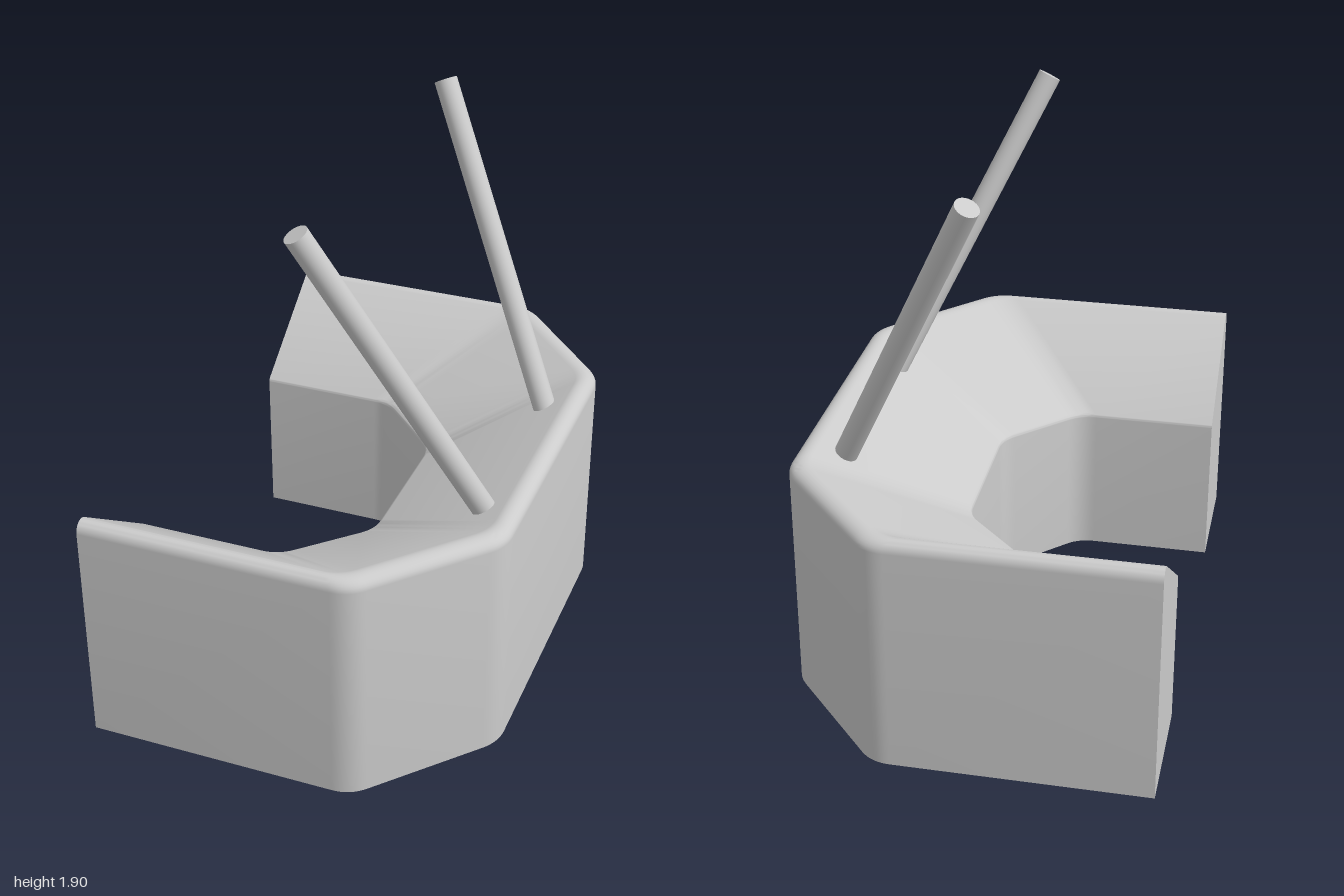
import * as THREE from 'three';
import { toCreasedNormals } from 'three/addons/utils/BufferGeometryUtils.js';

const V2 = (x, y) => new THREE.Vector2(x, y);

// Plan line (x, z) from one arm end to the other, with two rounded corners per half
function planLine(end, c1, c2, round) {
  const half = [end];
  const corner = (a, c, b) => {
    const start = c.clone().add(a.clone().sub(c).setLength(round));
    const stop = c.clone().add(b.clone().sub(c).setLength(round));
    half.push(...new THREE.QuadraticBezierCurve(start, c, stop).getPoints(8));
  };
  corner(end, c1, c2);
  corner(c1, c2, V2(c2.x, 0));
  return [...half, ...half.map(p => V2(p.x, -p.y)).reverse()];
}

// Wedge cross-section: x = 0 inner wall to 1 outer wall, y = height
function wedgeProfile() {
  const w = 0.5, rOut = 0.04, rIn = 0.02, hIn = 0.57, hOut = 0.86;
  const slope = Math.atan(0.297 / (w - rOut));
  const pts = [V2(0, 0), V2(w, 0)];
  const arc = (cx, cy, r, a0, a1, n) => {
    for (let i = 0; i <= n; i++) {
      const a = a0 + (a1 - a0) * i / n;
      pts.push(V2(cx + r * Math.cos(a), cy + r * Math.sin(a)));
    }
  };
  arc(w - rOut, hOut - rOut, rOut, 0, Math.PI / 2 + slope, 10);
  const t = rIn * Math.tan((Math.PI / 2 - slope) / 2);
  arc(rIn, hIn - t, rIn, Math.PI / 2 + slope, Math.PI, 5);
  return pts.map(p => V2(p.x / w, p.y));
}

function wedgeSweep() {
  const inner = planLine(V2(-0.67, 0.547), V2(-0.16, 0.547), V2(0.1, 0.285), 0.06);
  const outer = planLine(V2(-0.67, 1), V2(0.285, 1), V2(0.67, 0.572), 0.065);
  const profile = wedgeProfile(), n = profile.length;
  const rings = inner.map((a, i) => profile.map(p => {
    const q = a.clone().lerp(outer[i], p.x);
    return [q.x, p.y, q.y];
  }));
  const pos = [];
  const tri = (a, b, c) => pos.push(...a, ...b, ...c);
  for (let i = 0; i < rings.length - 1; i++) {
    for (let j = 0; j < n; j++) {
      const k = (j + 1) % n, r = rings[i], s = rings[i + 1];
      tri(r[j], s[j], s[k]);
      tri(r[j], s[k], r[k]);
    }
  }
  // Flat arm ends
  const first = rings[0], last = rings[rings.length - 1];
  for (let j = 1; j < n - 1; j++) {
    tri(first[0], first[j], first[j + 1]);
    tri(last[0], last[j + 1], last[j]);
  }
  const g = new THREE.BufferGeometry();
  g.setAttribute('position', new THREE.Float32BufferAttribute(pos, 3));
  return toCreasedNormals(g, 0.5);
}

export function createModel() {
  const group = new THREE.Group();
  const mat = new THREE.MeshStandardMaterial({ color: 0xcccccc });

  // U-shaped body with a roof sloping down to the inside
  const body = new THREE.Mesh(wedgeSweep(), mat);
  body.name = 'body';
  group.add(body);

  // Two leaning rods, sunk into the roof
  for (const side of [1, -1]) {
    const bottom = new THREE.Vector3(0.558, 0.73, 0.335 * side);
    const top = new THREE.Vector3(0.003, 1.88, 0.693 * side);
    const dir = top.clone().sub(bottom);
    const rod = new THREE.Mesh(new THREE.CylinderGeometry(0.042, 0.042, dir.length(), 32), mat);
    rod.position.copy(bottom).add(top).multiplyScalar(0.5);
    rod.quaternion.setFromUnitVectors(new THREE.Vector3(0, 1, 0), dir.normalize());
    rod.name = side > 0 ? 'frontRod' : 'backRod';
    group.add(rod);
  }
  return group;
}
